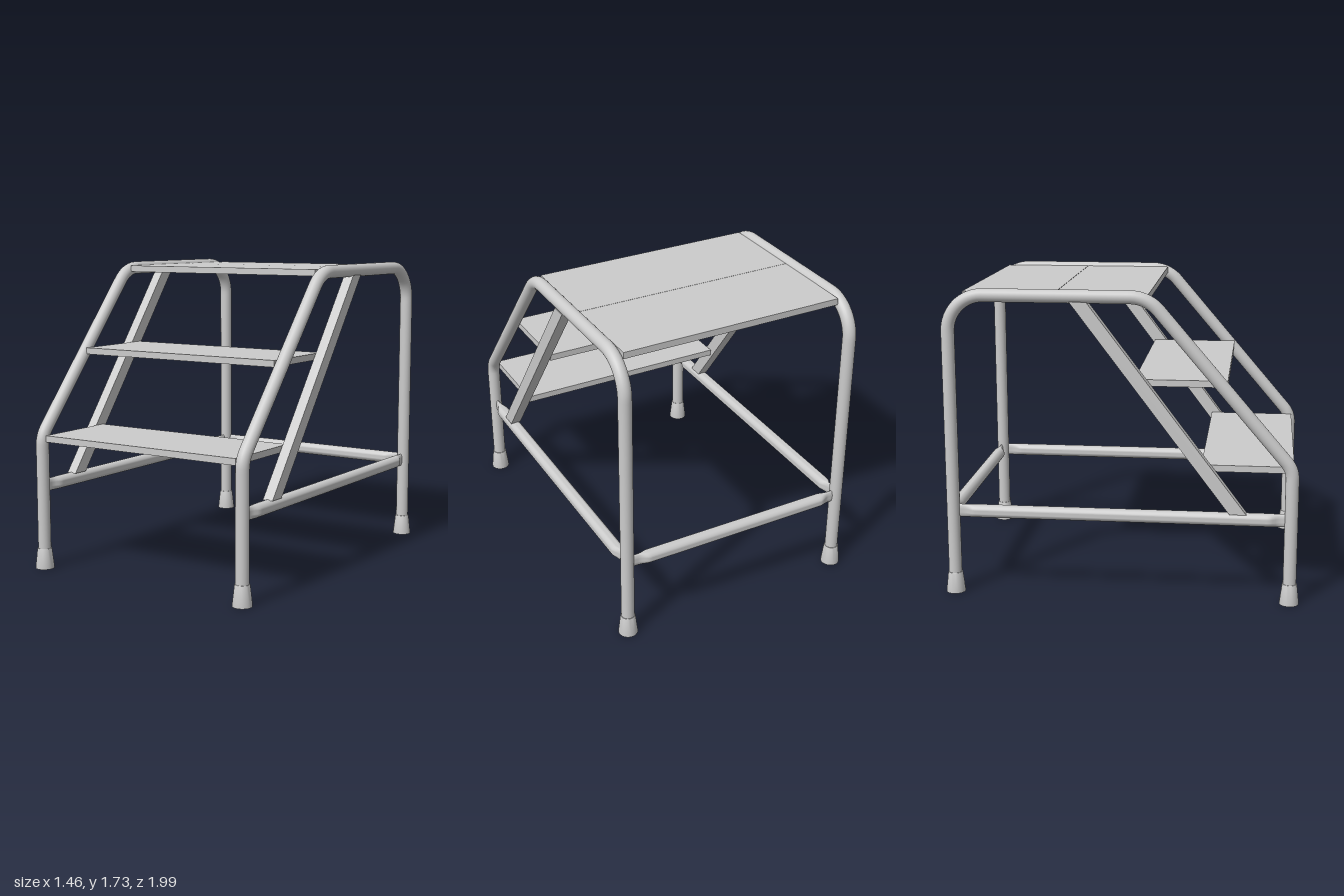
import * as THREE from 'three';
import { toCreasedNormals } from 'three/addons/utils/BufferGeometryUtils.js';

const RAIL_X = 0.677, TUBE_R = 0.037, FRONT_Z = 0.945, BACK_Z = -0.941;
const BAR_Y = 0.481, TREAD_DEPTH = 0.508;

const material = new THREE.MeshStandardMaterial({ color: 0xcccccc });
const openMaterial = new THREE.MeshStandardMaterial({ color: 0xcccccc, side: THREE.DoubleSide });

function addMesh(parent, name, geometry, mat = material) {
  const mesh = new THREE.Mesh(geometry, mat);
  mesh.name = name;
  parent.add(mesh);
  return mesh;
}

// Straight runs joined by circular bends; each corner is [z, y, bendRadius]
function bentPath(corners) {
  const pts = corners.map(([z, y]) => new THREE.Vector3(0, y, z));
  const path = new THREE.CurvePath();
  let from = pts[0];
  for (let i = 1; i < pts.length - 1; i++) {
    const dIn = pts[i].clone().sub(pts[i - 1]).normalize();
    const dOut = pts[i + 1].clone().sub(pts[i]).normalize();
    const angle = dIn.angleTo(dOut), r = corners[i][2];
    const trim = r * Math.tan(angle / 2), handle = (4 / 3) * Math.tan(angle / 4) * r;
    const a = pts[i].clone().addScaledVector(dIn, -trim);
    const b = pts[i].clone().addScaledVector(dOut, trim);
    path.add(new THREE.LineCurve3(from, a));
    path.add(new THREE.CubicBezierCurve3(a, a.clone().addScaledVector(dIn, handle),
      b.clone().addScaledVector(dOut, -handle), b));
    from = b;
  }
  path.add(new THREE.LineCurve3(from, pts[pts.length - 1]));
  return path;
}

// Round bar along z whose ends are crimped flat (thin in x)
function crimpedBar(length) {
  const geo = new THREE.CylinderGeometry(TUBE_R, TUBE_R, length, 24, 120).rotateX(Math.PI / 2);
  const p = geo.attributes.position;
  for (let i = 0; i < p.count; i++) {
    const fromEnd = length / 2 - Math.abs(p.getZ(i));
    const t = THREE.MathUtils.smoothstep(fromEnd, 0.035, 0.1);
    p.setX(i, p.getX(i) * THREE.MathUtils.lerp(0.3, 1, t));
  }
  return toCreasedNormals(geo, 0.7);
}

export function createModel() {
  const model = new THREE.Group();
  model.name = 'stepStool';

  // Shared side parts
  const railPath = bentPath([
    [FRONT_Z, 0.03], [FRONT_Z, 0.77, 0.14], [0.152, 1.697, 0.2],
    [BACK_Z, 1.697, 0.2], [BACK_Z, 0.03],
  ]);
  const railGeo = new THREE.TubeGeometry(railPath, 200, TUBE_R, 24);

  // Hollow flared foot
  const footProfile = [[0, 0.03], [0.036, 0.03], [0.039, 0], [0.054, 0], [0.054, 0.008],
    [0.042, 0.112], [0.04, 0.118], [0.035, 0.118]].map(([x, y]) => new THREE.Vector2(x, y));
  const footGeo = toCreasedNormals(new THREE.LatheGeometry(footProfile, 28), 0.6);

  // Slanted brace, cut level at both ends
  const strutShape = new THREE.Shape([[0.7, 0.513], [0.607, 0.513], [-0.268, 1.67], [-0.175, 1.67]]
    .map(([z, y]) => new THREE.Vector2(-z, y)));
  const strutGeo = new THREE.ExtrudeGeometry(strutShape, { depth: 0.06, bevelEnabled: false })
    .translate(0, 0, -0.03).rotateY(Math.PI / 2);

  const sideLength = FRONT_Z - BACK_Z - 0.05;
  const sideBarGeo = crimpedBar(sideLength);

  for (const [side, s] of [['left', 1], ['right', -1]]) {
    const frame = new THREE.Group();
    frame.name = side + 'Frame';
    frame.position.x = s * RAIL_X;
    model.add(frame);
    addMesh(frame, side + 'Rail', railGeo, openMaterial);
    addMesh(frame, side + 'Strut', strutGeo);
    addMesh(frame, side + 'LowerBar', sideBarGeo).position.set(0, BAR_Y, (FRONT_Z + BACK_Z) / 2);
    addMesh(frame, side + 'FrontFoot', footGeo, openMaterial).position.z = FRONT_Z;
    addMesh(frame, side + 'BackFoot', footGeo, openMaterial).position.z = BACK_Z;
  }

  // Rear cross bar
  const backBar = addMesh(model, 'backLowerBar', crimpedBar(2 * RAIL_X - 0.05));
  backBar.rotation.y = Math.PI / 2;
  backBar.position.set(0, BAR_Y, BACK_Z - 0.005);

  // Treads: [name, front edge z, top y]
  const treadGeo = new THREE.BoxGeometry(1.284, 0.037, TREAD_DEPTH);
  for (const [name, z, y] of [['lowerTread', 0.955, 0.775], ['middleTread', 0.585, 1.245],
    ['platformFront', 0.155, 1.712], ['platformBack', -0.355, 1.712]]) {
    addMesh(model, name, treadGeo).position.set(0, y - 0.0185, z - TREAD_DEPTH / 2);
  }
  return model;
}
